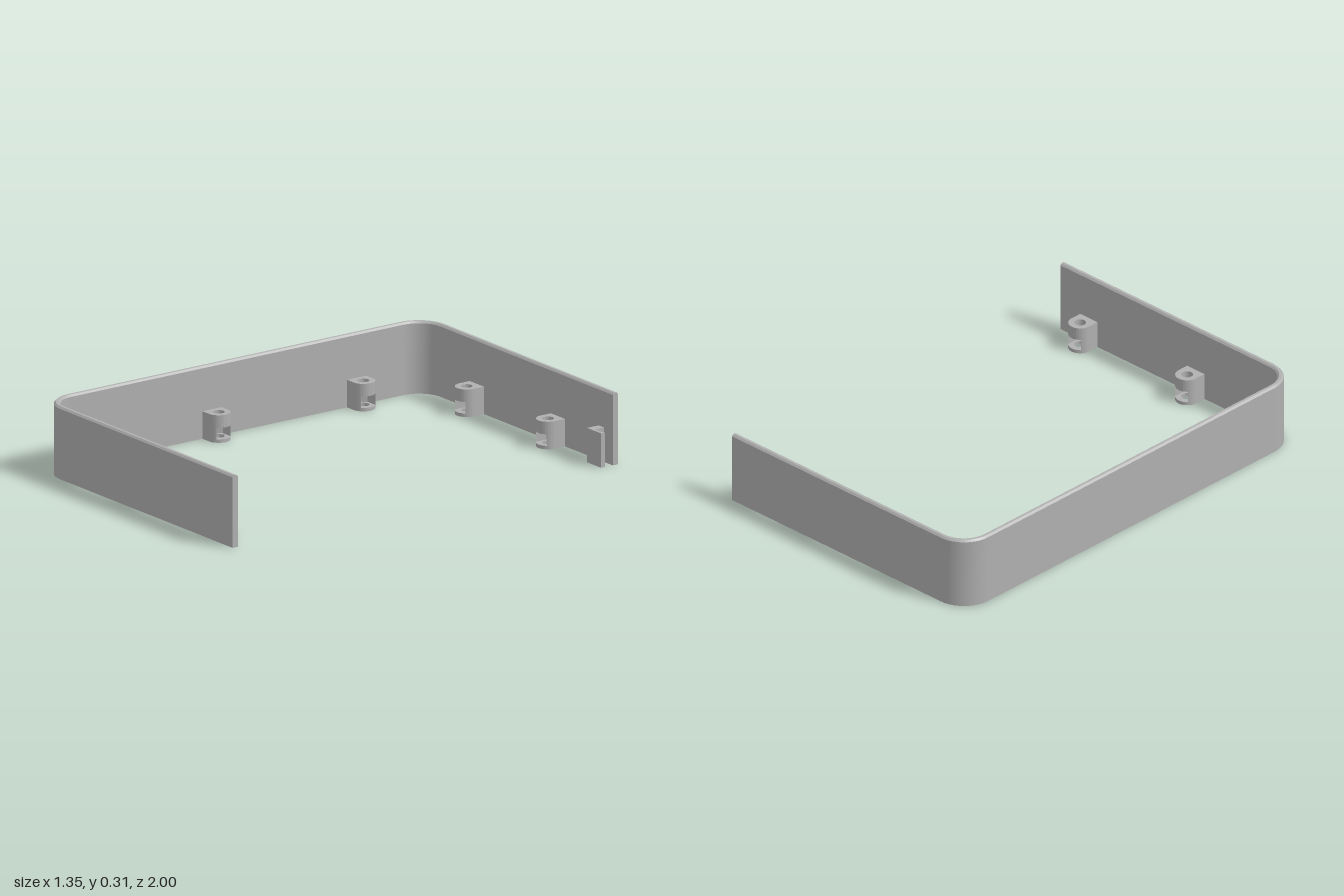
import * as THREE from 'three';
import { toCreasedNormals } from 'three/addons/utils/BufferGeometryUtils.js';

const W = 0.675, D = 1, H = 0.315, T = 0.028, R = 0.14, C = 0.008;

// Sweeps the chamfered wall section along the U-shaped outline
function wallGeometry() {
  const path = [[W, -D, 0, -1]];
  const corner = (cz, from) => {
    for (let i = 0; i <= 16; i++) {
      const a = from - (i / 16) * Math.PI / 2;
      const nx = Math.cos(a), nz = Math.sin(a);
      path.push([-W + R + R * nx, cz + R * nz, nx, nz]);
    }
  };
  corner(-D + R, -Math.PI / 2);
  corner(D - R, -Math.PI);
  path.push([W, D, 0, 1]);

  const section = [[0, 0], [T, 0], [T, H - C], [T - C, H], [C, H], [0, H - C]];
  const n = section.length;
  const rings = path.map(([x, z, nx, nz]) =>
    section.map(([d, y]) => [x - nx * d, y, z - nz * d]));
  const pos = [];
  const tri = (a, b, c) => pos.push(...a, ...b, ...c);
  for (let i = 0; i < rings.length - 1; i++) {
    const p = rings[i], q = rings[i + 1];
    for (let j = 0; j < n; j++) {
      const k = (j + 1) % n;
      tri(p[j], p[k], q[j]);
      tri(p[k], q[k], q[j]);
    }
  }
  // End caps
  const first = rings[0], last = rings[rings.length - 1];
  for (let j = 1; j < n - 1; j++) {
    tri(first[0], first[j + 1], first[j]);
    tri(last[0], last[j], last[j + 1]);
  }
  const g = new THREE.BufferGeometry();
  g.setAttribute('position', new THREE.Float32BufferAttribute(pos, 3));
  return toCreasedNormals(g, 0.4);
}

// Extrudes a plan shape upwards between two heights
function slab(shape, y0, y1) {
  const g = new THREE.ExtrudeGeometry(shape, { depth: y1 - y0, bevelEnabled: false, curveSegments: 20 });
  g.rotateX(-Math.PI / 2);
  g.translate(0, y0, 0);
  return toCreasedNormals(g, 0.4);
}

// Round-nosed tab with a screw hole
function tabShape() {
  const s = new THREE.Shape();
  s.moveTo(-0.05, -0.055);
  s.lineTo(0.05, -0.055);
  s.lineTo(0.05, 0);
  s.absarc(0, 0, 0.05, 0, Math.PI, false);
  s.closePath();
  const hole = new THREE.Path();
  hole.absarc(0, 0, 0.025, 0, Math.PI * 2, true);
  s.holes.push(hole);
  return s;
}

// Tab outline with a nut pocket open at the nose
function pocketShape() {
  const r = 0.05, w = 0.037, a = Math.acos(w / r);
  const s = new THREE.Shape();
  s.moveTo(-r, -0.055);
  s.lineTo(r, -0.055);
  s.lineTo(r, 0);
  s.absarc(0, 0, r, 0, a, false);
  s.lineTo(w, -0.021);
  s.lineTo(0, -0.043);
  s.lineTo(-w, -0.021);
  s.lineTo(-w, r * Math.sin(a));
  s.absarc(0, 0, r, Math.PI - a, Math.PI, false);
  s.closePath();
  return s;
}

export function createModel() {
  const model = new THREE.Group();
  model.name = 'enclosureFrame';
  const grey = new THREE.MeshStandardMaterial({ color: 0xb0b0b0 });
  grey.name = 'grey';
  const add = (parent, name, geometry) => {
    const m = new THREE.Mesh(geometry, grey);
    m.name = name;
    parent.add(m);
    return m;
  };

  add(model, 'wall', wallGeometry());

  // Screw bosses: x, z, turn
  const base = slab(tabShape(), 0, 0.015);
  const pocket = slab(pocketShape(), 0.015, 0.065);
  const cap = slab(tabShape(), 0.065, 0.12);
  const bosses = [
    [-0.555, 0.92, 0], [-0.11, 0.92, 0], [0.51, 0.92, 0],
    [-0.28, -0.92, Math.PI], [0.29, -0.92, Math.PI],
    [-0.6, -0.62, -Math.PI / 2], [-0.6, 0.13, -Math.PI / 2],
  ];
  for (const [x, z, turn] of bosses) {
    const boss = new THREE.Group();
    boss.name = 'screwBoss';
    add(boss, 'bossBase', base);
    add(boss, 'nutPocket', pocket);
    add(boss, 'bossCap', cap);
    boss.position.set(x, 0, z);
    boss.rotation.y = turn;
    model.add(boss);
  }

  // Hooked clip at the open end of the back wall (plan drawn as x, -z)
  const clip = new THREE.Shape([
    [0.575, 0.98], [0.575, 0.912], [0.672, 0.912], [0.672, 0.934],
    [0.655, 0.926], [0.612, 0.926], [0.612, 0.98],
  ].map(([x, y]) => new THREE.Vector2(x, y)));
  add(model, 'endClip', slab(clip, 0, 0.15));

  return model;
}
